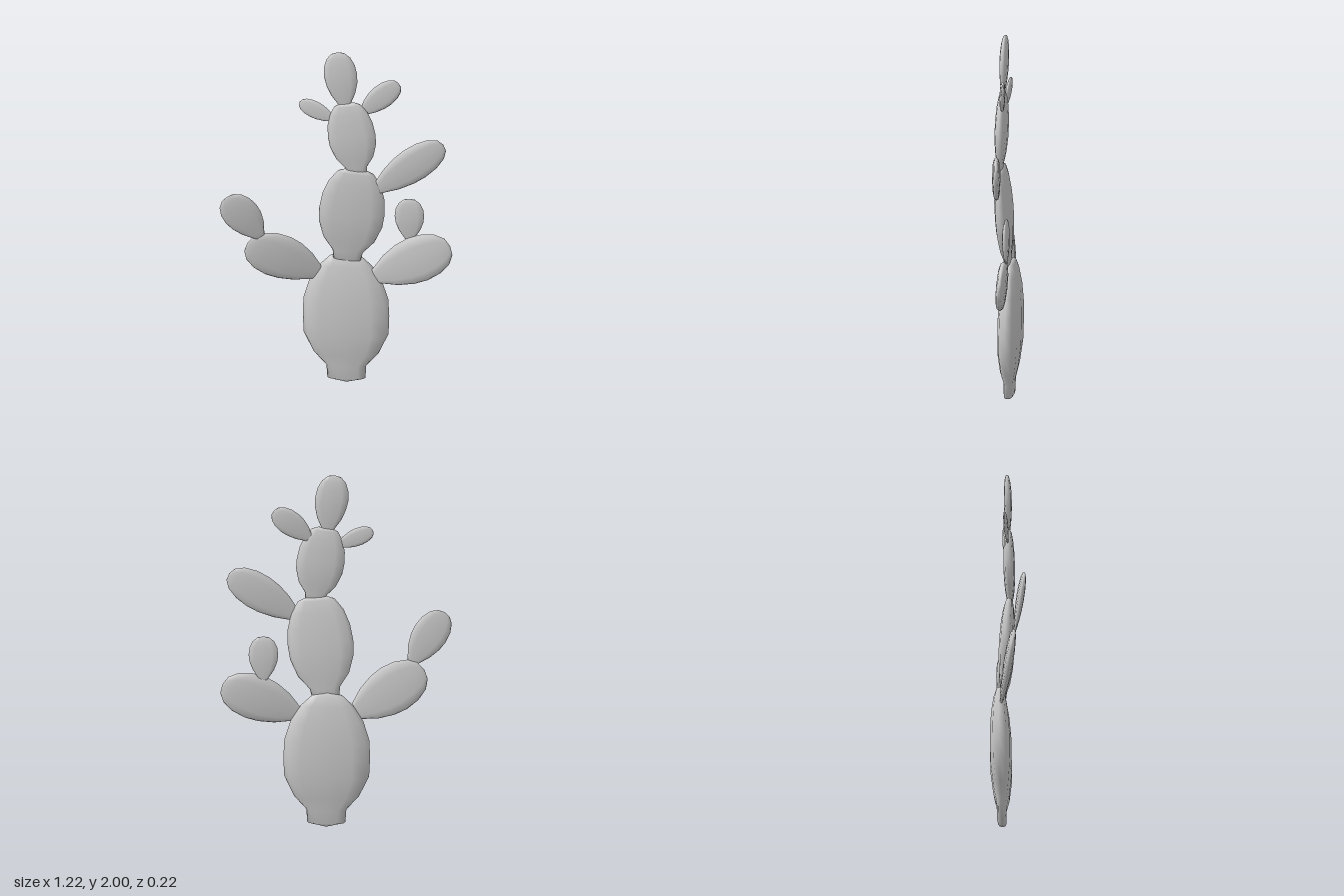
import * as THREE from 'three';
import { mergeVertices } from 'three/addons/utils/BufferGeometryUtils.js';

const material = new THREE.MeshStandardMaterial({ color: 0xcccccc });

// Outlines as [half width, position along the pad], both from 0 to 1
const OUTLINES = {
  trunk: [[0, 0], [0.44, 0.035], [0.46, 0.13], [0.75, 0.23], [0.98, 0.38], [1, 0.52],
    [0.98, 0.65], [0.84, 0.79], [0.6, 0.91], [0.36, 0.98], [0, 1]],
  stem: [[0, 0], [0.42, 0.015], [0.46, 0.1], [0.78, 0.23], [0.97, 0.4], [1, 0.54],
    [0.95, 0.7], [0.8, 0.85], [0.56, 0.96], [0.34, 0.99], [0, 1]],
  leaf: [[0, 0], [0.27, 0.015], [0.4, 0.08], [0.72, 0.24], [0.93, 0.42], [1, 0.58],
    [0.93, 0.75], [0.72, 0.89], [0.4, 0.975], [0, 1]],
};

// Flattened pad running from base to tip; slope is dz/dx and dz/dy of its flat face
function pad(name, outline, base, tip, halfWidth, flatness = 0.23, slope = [0, 0]) {
  const start = new THREE.Vector3(...base);
  const axis = new THREE.Vector3(...tip).sub(start);
  const length = axis.length();
  axis.normalize();
  const side = new THREE.Vector3().crossVectors(axis, new THREE.Vector3(-slope[0], -slope[1], 1)).normalize();
  const normal = new THREE.Vector3().crossVectors(side, axis);

  let geometry = new THREE.LatheGeometry(
    OUTLINES[outline].map(([r, t]) => new THREE.Vector2(r, t)), 12);
  geometry.deleteAttribute('uv');
  geometry.deleteAttribute('normal');

  // Square off the round section so that the faces are broad and the rims full
  const p = geometry.attributes.position;
  for (let i = 0; i < p.count; i++) {
    const x = p.getX(i), z = p.getZ(i), r = Math.hypot(x, z);
    const bulge = (v) => (r > 0 ? Math.sign(v) * r * Math.pow(Math.abs(v) / r, 0.75) : 0);
    p.setXYZ(i, bulge(x) * halfWidth, p.getY(i) * length, bulge(z) * halfWidth * flatness);
  }
  geometry.applyMatrix4(new THREE.Matrix4().makeBasis(side, axis, normal).setPosition(start));
  geometry = mergeVertices(geometry, 1e-5);
  geometry.computeVertexNormals();

  const mesh = new THREE.Mesh(geometry, material);
  mesh.name = name;
  return mesh;
}

export function createModel() {
  const cactus = new THREE.Group();
  cactus.name = 'cactus';
  cactus.add(
    // Central column
    pad('trunkPad', 'trunk', [0.05, 0, -0.045], [0.045, 0.77, -0.055], 0.228, 0.25),
    pad('middlePad', 'stem', [0.052, 0.735, -0.04], [0.105, 1.305, -0.005], 0.173, 0.22),
    pad('upperPad', 'stem', [0.11, 1.275, -0.005], [0.055, 1.7, -0.01], 0.126, 0.24),
    pad('crownPad', 'leaf', [0.045, 1.67, -0.01], [0.005, 2, -0.015], 0.088, 0.24),
    // Small crown buds
    pad('leftCrownBud', 'leaf', [0.13, 1.635, -0.02], [0.325, 1.81, -0.045], 0.068, 0.22, [-0.1, -0.04]),
    pad('rightCrownBud', 'leaf', [-0.01, 1.595, -0.01], [-0.195, 1.69, -0.022], 0.05, 0.22),
    // Branches on the left
    pad('leftUpperBranch', 'leaf', [0.2, 1.18, 0], [0.56, 1.45, -0.045], 0.1, 0.22, [-0.12, 0]),
    pad('leftLowerBranch', 'leaf', [0.185, 0.635, -0.04], [0.595, 0.825, -0.07], 0.132, 0.2, [-0.05, -0.08]),
    pad('leftLowerBud', 'leaf', [0.38, 0.85, -0.075], [0.38, 1.1, -0.072], 0.078, 0.2),
    // Branch on the right
    pad('rightBranch', 'leaf', [-0.085, 0.645, -0.045], [-0.465, 0.865, 0.04], 0.135, 0.18, [-0.15, 0.12]),
    pad('rightBranchBud', 'leaf', [-0.395, 0.9, 0.04], [-0.57, 1.17, 0.1], 0.097, 0.18, [-0.2, 0.1]),
  );
  return cactus;
}
